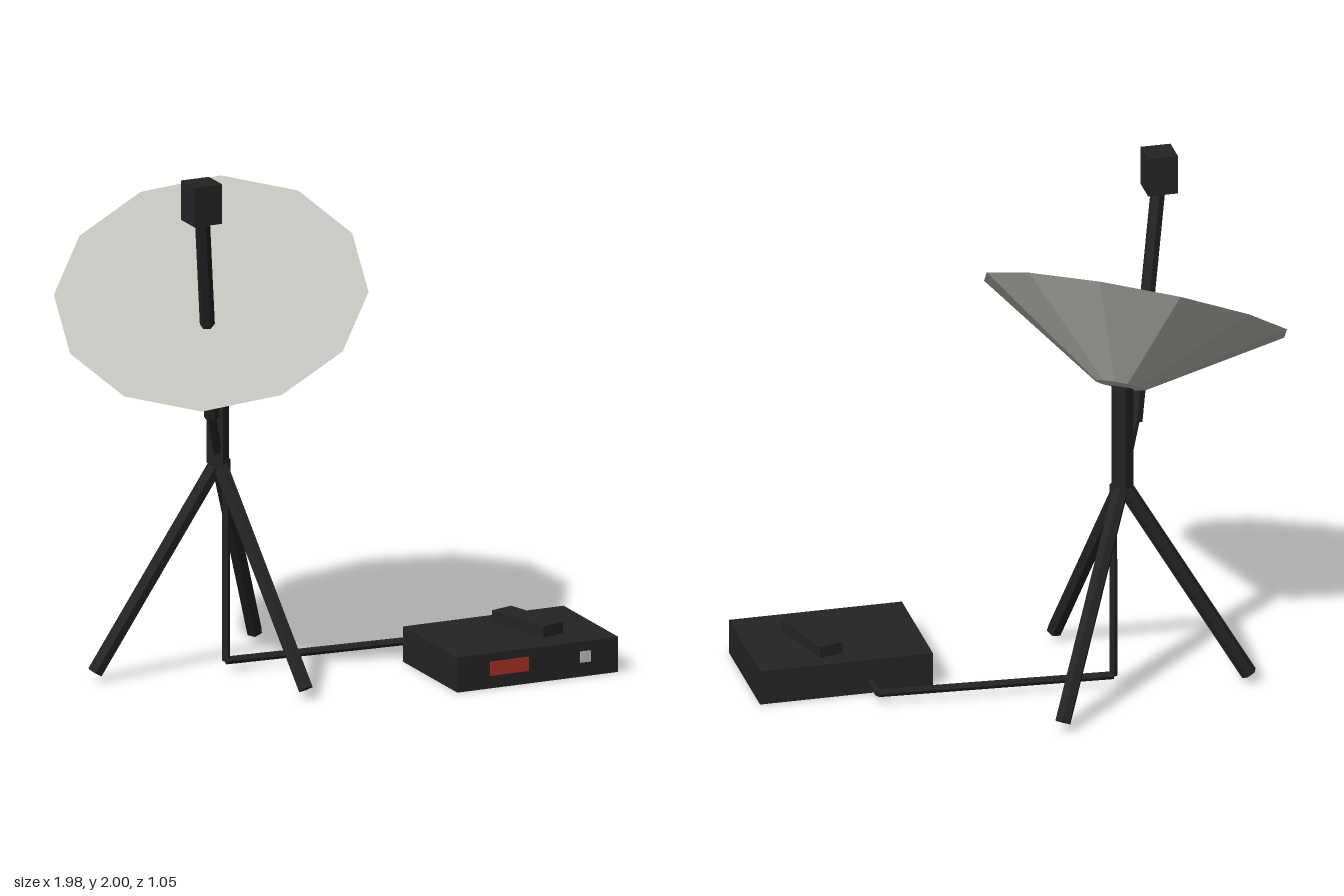
import * as THREE from 'three';

const black = new THREE.MeshStandardMaterial({ name: 'black plastic', color: 0x242424 });
const grey = new THREE.MeshStandardMaterial({ name: 'light grey', color: 0xc0c0ba });
const red = new THREE.MeshStandardMaterial({ name: 'red display', color: 0xa83024 });

const V = (x, y, z) => new THREE.Vector3(x, y, z);

export function createModel() {
  const model = new THREE.Group();
  model.name = 'satelliteDish';

  const add = (name, geometry, material) => {
    // unshared vertices give every facet its own flat normal
    const geo = geometry.index ? geometry.toNonIndexed() : geometry;
    geo.computeVertexNormals();
    const mesh = new THREE.Mesh(geo, material);
    mesh.name = name;
    model.add(mesh);
    return mesh;
  };

  const box = (name, w, h, d, x, y, z, material = black) => {
    const mesh = add(name, new THREE.BoxGeometry(w, h, d), material);
    mesh.position.set(x, y, z);
    return mesh;
  };

  // six-sided rod between two points
  const rod = (name, a, b, radius, sides = 6) => {
    const dir = b.clone().sub(a);
    const mesh = add(name, new THREE.CylinderGeometry(radius, radius, dir.length(), sides), black);
    mesh.position.copy(a).add(b).multiplyScalar(0.5);
    mesh.quaternion.setFromUnitVectors(V(0, 1, 0), dir.normalize());
    return mesh;
  };

  // tilted twelve-sided dish: flat face, conical back, small flat hub
  const depth = 0.305;
  const normal = V(-0.302, 0.841, 0.447).normalize();
  const across = V(0.95, 0.3, 0.077);
  across.addScaledVector(normal, -across.dot(normal)).normalize();
  const side = across.clone().cross(normal);
  const dish = add('dish', new THREE.CylinderGeometry(0.586, 0.095, depth, 12), grey);
  dish.quaternion.setFromRotationMatrix(new THREE.Matrix4().makeBasis(across, normal, side));
  dish.position.set(-0.435, 1.495, -0.005).addScaledVector(normal, -depth / 2);

  // receiver on an arm that passes through the dish, with a thin brace to the mast
  const top = V(-0.36, 0.82, -0.1);
  const elbow = V(-0.435, 1.02, 0);
  rod('receiverArm', elbow, V(-0.582, 1.88, 0.225), 0.028);
  rod('armBrace', top, elbow, 0.017);
  box('receiver', 0.114, 0.152, 0.114, -0.585, 1.924, 0.228);

  // mast and tripod
  rod('mast', V(-0.362, 0.81, -0.1), V(-0.362, 1.22, -0.1), 0.042);
  for (let i = 0; i < 3; i++) {
    const angle = -0.838 + (i * Math.PI * 2) / 3;
    const foot = V(top.x + 0.47 * Math.cos(angle), 0.035, top.z + 0.47 * Math.sin(angle));
    rod('tripodLeg', top, foot, 0.031);
  }

  // cable from the mast down and along the ground to the control box
  const cable = [
    V(-0.325, 0.82, -0.105), V(-0.325, 0.043, -0.108),
    V(0.557, 0.043, -0.05), V(0.557, 0.043, 0.06),
  ];
  for (let i = 0; i < 3; i++) rod('cable', cable[i], cable[i + 1], 0.015);

  // control box with its top pad, display and button
  box('controlBox', 0.66, 0.135, 0.47, 0.655, 0.0675, 0.285);
  box('topPad', 0.095, 0.045, 0.29, 0.735, 0.1575, 0.262).rotation.y = 0.28;
  box('display', 0.157, 0.053, 0.006, 0.537, 0.076, 0.522, red);
  box('button', 0.042, 0.042, 0.006, 0.85, 0.076, 0.522, grey);

  return model;
}
